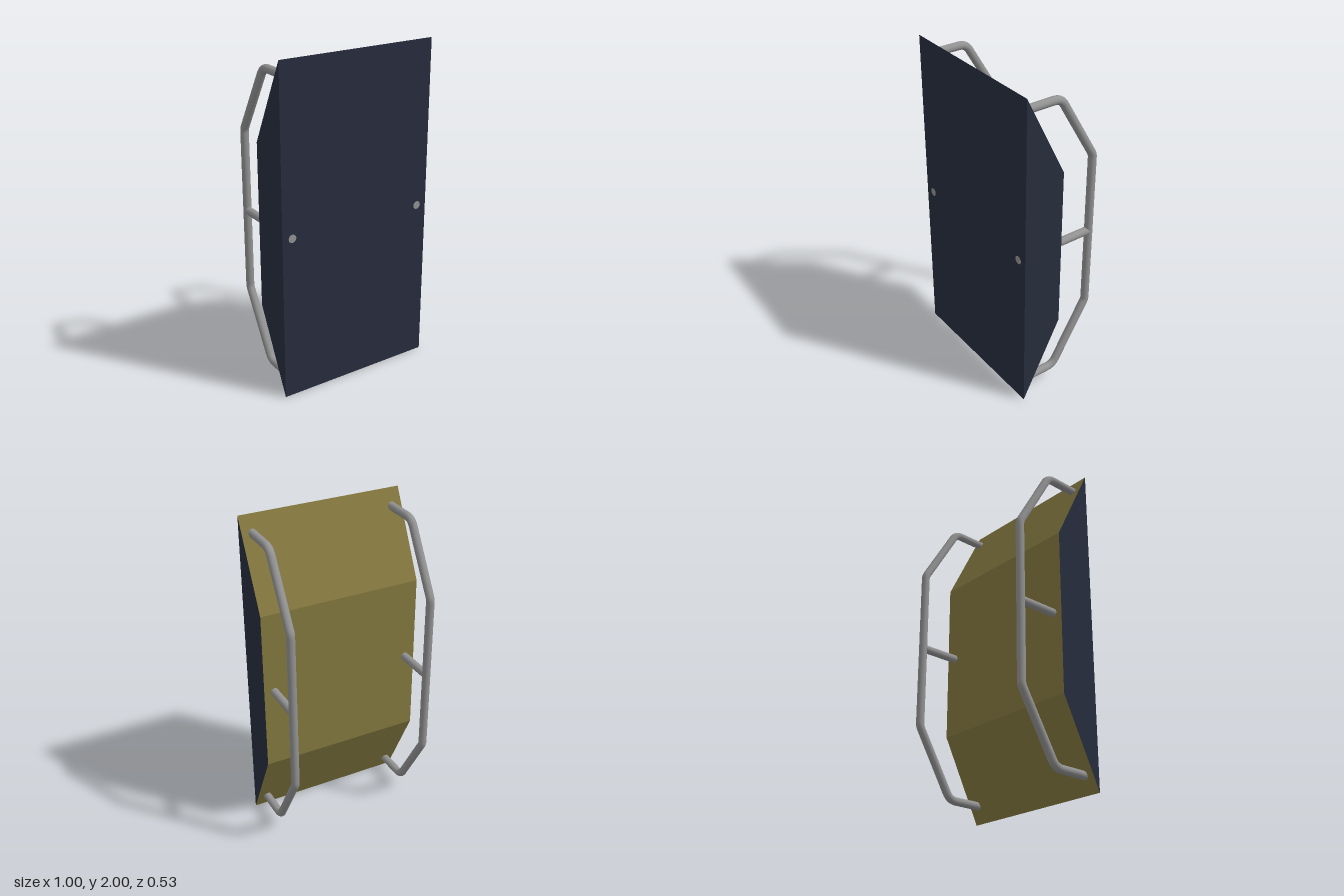
import * as THREE from 'three';

const FRONT = 0.262, BACK = 0.013, HALF = 0.5;
const navy = new THREE.MeshStandardMaterial({ color: 0x272d3d });
const olive = new THREE.MeshStandardMaterial({ color: 0x857940 });
const steel = new THREE.MeshStandardMaterial({ color: 0x929292 });

// Side outline as [z, y], from the top front edge round the back to the bottom
const outline = [[FRONT, 2], [BACK, 1.5], [BACK, 0.5], [FRONT, 0]];
const left = outline.map(([z, y]) => [HALF, y, z]);
const right = outline.map(([z, y]) => [-HALF, y, z]);

function named(name, geometry, material) {
  const mesh = new THREE.Mesh(geometry, material);
  mesh.name = name;
  return mesh;
}

// Flat four-cornered panel, corners anticlockwise seen from outside
function panel(name, [a, b, c, d], material) {
  const g = new THREE.BufferGeometry();
  g.setAttribute('position', new THREE.Float32BufferAttribute([a, b, c, a, c, d].flat(), 3));
  g.computeVertexNormals();
  return named(name, g, material);
}

// Polyline through [z, y, bend] corners, each rounded over its bend length
function bentPath(corners) {
  const pts = corners.map(([z, y]) => new THREE.Vector3(0, y, z));
  const path = new THREE.CurvePath();
  let from = pts[0];
  for (let i = 1; i < pts.length - 1; i++) {
    const p = pts[i], bend = corners[i][2];
    const toward = q => q.clone().sub(p).setLength(bend).add(p);
    const start = toward(pts[i - 1]), end = toward(pts[i + 1]);
    path.add(new THREE.LineCurve3(from, start));
    path.add(new THREE.QuadraticBezierCurve3(start, p, end));
    from = end;
  }
  path.add(new THREE.LineCurve3(from, pts[pts.length - 1]));
  return path;
}

export function createModel() {
  const model = new THREE.Group();

  // Shield body: dark front and ends, olive back
  const body = new THREE.Group();
  body.name = 'body';
  body.add(
    panel('frontPanel', [left[0], right[0], right[3], left[3]], navy),
    panel('leftEnd', [...left].reverse(), navy),
    panel('rightEnd', right, navy),
  );
  ['upperBack', 'middleBack', 'lowerBack'].forEach((name, i) => {
    body.add(panel(name, [left[i], left[i + 1], right[i + 1], right[i]], olive));
  });
  model.add(body);

  // Bent rails behind the body, each with a strut running through to the front
  const rail = new THREE.TubeGeometry(bentPath([
    [0.235, 1.902], [-0.002, 1.902, 0.046], [-0.238, 1.5, 0.018],
    [-0.238, 0.5, 0.018], [-0.002, 0.098, 0.046], [0.235, 0.098],
  ]), 200, 0.0245, 20);
  const strutEnd = FRONT + 0.001, strutStart = -0.238;
  const strut = new THREE.CylinderGeometry(0.0245, 0.0245, strutEnd - strutStart, 24).rotateX(Math.PI / 2);
  for (const side of [1, -1]) {
    const handle = new THREE.Group();
    handle.name = side > 0 ? 'leftHandle' : 'rightHandle';
    const bar = named('strut', strut, steel);
    bar.position.set(0, 1, (strutStart + strutEnd) / 2);
    handle.add(named('rail', rail, steel), bar);
    handle.position.x = side * 0.436;
    model.add(handle);
  }
  return model;
}
